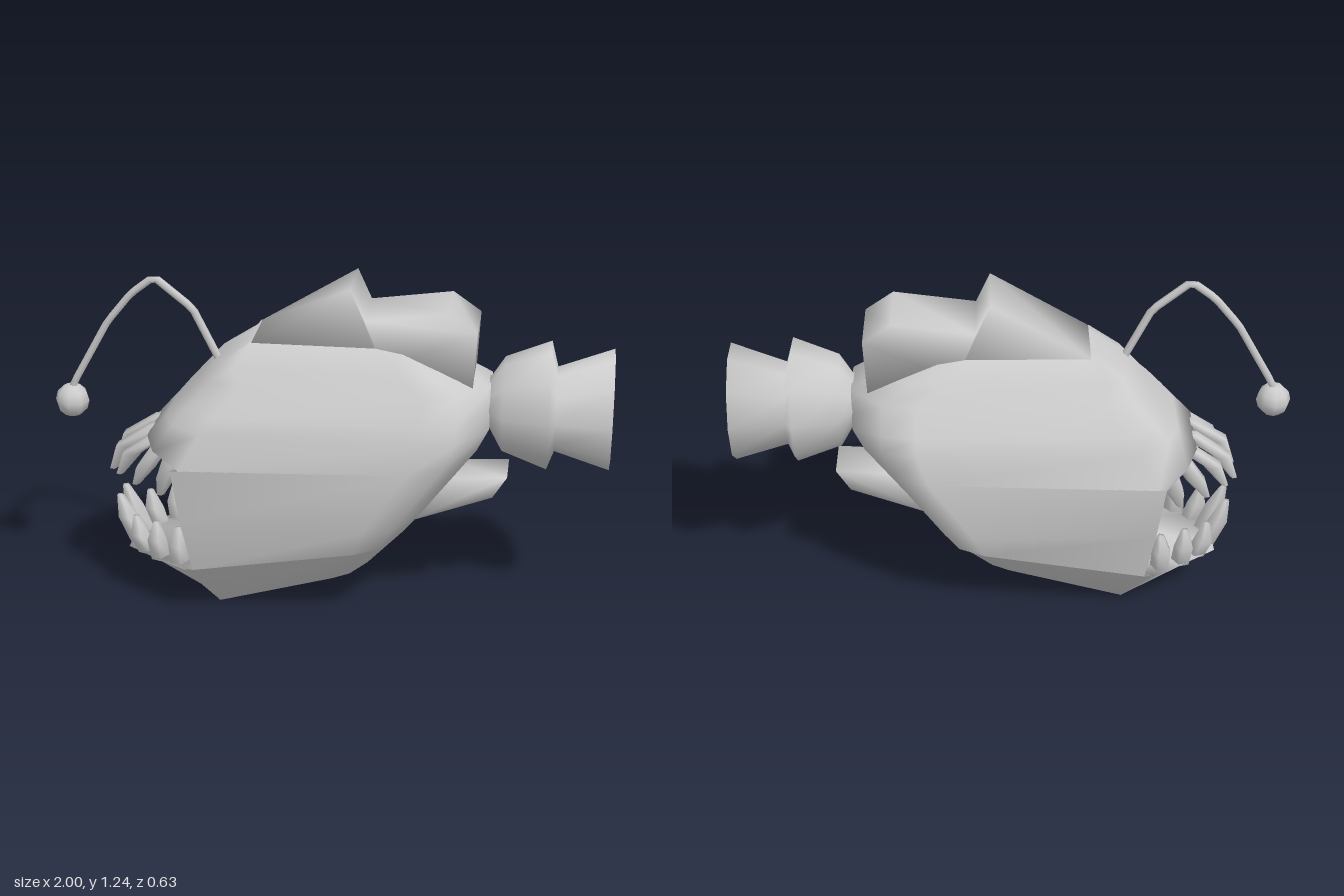
import * as THREE from 'three';
import { mergeVertices } from 'three/addons/utils/BufferGeometryUtils.js';

const material = new THREE.MeshStandardMaterial({ color: 0xcccccc, side: THREE.DoubleSide });
const V = (x, y, z) => new THREE.Vector3(x, y, z);

function addMesh(parent, name, geometry) {
  const mesh = new THREE.Mesh(geometry, material);
  mesh.name = name;
  parent.add(mesh);
  return mesh;
}

// Share coincident corners so shading runs smoothly over the whole part
function smooth(geometry) {
  geometry.deleteAttribute('normal');
  geometry.deleteAttribute('uv');
  const merged = mergeVertices(geometry);
  merged.computeVertexNormals();
  return merged;
}

// Skin a list of equal-length rings and close both ends, facing outward
function loft(rings) {
  const n = rings[0].length;
  const points = rings.flat();
  const index = [];
  for (let r = 0; r < rings.length - 1; r++) {
    for (let i = 0; i < n; i++) {
      const j = (i + 1) % n, a = r * n, b = a + n;
      index.push(a + i, a + j, b + j, a + i, b + j, b + i);
    }
  }
  [0, rings.length - 1].forEach((r, end) => {
    const centre = rings[r].reduce((s, p) => s.add(p), V(0, 0, 0)).divideScalar(n);
    const c = points.push(centre) - 1;
    for (let i = 0; i < n; i++) {
      const p = r * n + i, q = r * n + (i + 1) % n;
      index.push(c, end ? p : q, end ? q : p);
    }
  });
  let volume = 0;
  for (let i = 0; i < index.length; i += 3) {
    volume += points[index[i]].dot(V(0, 0, 0).crossVectors(points[index[i + 1]], points[index[i + 2]]));
  }
  if (volume < 0) index.reverse();
  const geometry = new THREE.BufferGeometry().setFromPoints(points);
  geometry.setIndex(index);
  return smooth(geometry);
}

// Body outline from front x to back x; nose gives the setback of the front corners
function bodyRing({ y, front, back, w, nose = [0, 0.04, 0.15], height = () => y }) {
  const s = Math.min(1, back - front);
  const half = [
    [front + nose[0], 0.4 * w], [front + nose[1], 0.72 * w], [front + nose[2], w],
    [back - 0.23 * s, w], [back - 0.11 * s, 0.91 * w], [back, 0.36 * w],
  ];
  const side = half.map(([x, z]) => V(x, height(x), z));
  const mirrored = side.map(p => V(p.x, p.y, -p.z)).reverse();
  return [...side, ...mirrored];
}

function bodyGeometry() {
  const belly = x => 0.005 + (x + 0.4) * 0.287;
  const jaw = x => 0.2 + Math.max(0, x + 0.47) * 0.17;
  const lip = x => 0.61 + Math.max(0, -0.53 - x) * 0.42 + Math.max(0, x) * 0.1;
  const blunt = [0, 0, 0];
  const mouth = [0.14, 0.09, 0];
  return loft([
    { front: -0.4, back: 0.14, w: 0.12, nose: blunt, height: belly },
    { front: -0.74, back: 0.28, w: 0.265, nose: [0, 0.12, 0.24], height: jaw },
    { front: -0.47, back: 0.28, w: 0.265, nose: mouth, height: jaw },
    { y: 0.41, front: -0.5, back: 0.34, w: 0.315, nose: mouth },
    { front: -0.53, back: 0.53, w: 0.315, nose: mouth, height: lip },
    { front: -0.65, back: 0.53, w: 0.315, height: lip },
    { y: 0.74, front: -0.58, back: 0.57, w: 0.287 },
    { y: 0.8, front: -0.53, back: 0.57, w: 0.27 },
    { y: 0.89, front: -0.452, back: 0.57, w: 0.212 },
    { y: 0.95, front: -0.4, back: 0.46, w: 0.175, nose: [0, 0.02, 0.07] },
    { y: 1.03, front: -0.27, back: 0.3, w: 0.12, nose: blunt },
  ].map(bodyRing));
}

// Two flared tail stages
function tailGeometry() {
  const sections = [
    // x, bottom, top, half width
    [0.54, 0.72, 0.89, 0.1], [0.57, 0.71, 0.9, 0.1], [0.615, 0.63, 0.97, 0.155],
    [0.775, 0.57, 1.035, 0.195], [0.8, 0.64, 0.94, 0.15], [0.995, 0.58, 1.015, 0.192],
  ];
  return loft(sections.map(([x, low, high, w]) => Array.from({ length: 10 }, (_, i) => {
    const a = i * Math.PI / 5;
    return V(x, (low + high) / 2 + Math.sin(a) * (high - low) / 2, Math.cos(a) * w);
  })));
}

// Flat fin outline given width across the body
function finGeometry(outline, halfWidth) {
  const shape = new THREE.Shape(outline.map(([x, y]) => new THREE.Vector2(x, y)));
  const geometry = new THREE.ExtrudeGeometry(shape, { depth: 2 * halfWidth, bevelEnabled: false });
  geometry.translate(0, 0, -halfWidth);
  return smooth(geometry);
}

// Five-sided fang through base, middle and tip
function toothGeometry(path) {
  const radii = [0.036, 0.037, 0.014];
  return loft(path.map(([x, y, z], k) => Array.from({ length: 5 }, (_, i) => {
    const a = i * Math.PI * 2 / 5;
    return V(x + Math.cos(a) * radii[k], y, z + Math.sin(a) * radii[k]);
  })));
}

export function createModel() {
  const model = new THREE.Group();
  model.name = 'deepSeaFish';

  addMesh(model, 'body', bodyGeometry());
  addMesh(model, 'tail', tailGeometry());
  addMesh(model, 'dorsalFin', finGeometry([
    [-0.27, 1.028], [0.08, 1.24], [0.13, 1.13], [0.42, 1.17], [0.52, 1.1], [0.51, 0.9], [0.2, 0.95],
  ], 0.12));
  addMesh(model, 'ventralFin', finGeometry([
    [0.3, 0.36], [0.59, 0.47], [0.64, 0.55], [0.42, 0.535], [0.3, 0.47],
  ], 0.084));

  // Teeth, mirrored on both sides
  const teeth = new THREE.Group();
  teeth.name = 'teeth';
  model.add(teeth);
  const lower = [
    [[-0.53, 0.19, 0.2], [-0.535, 0.27, 0.205], [-0.53, 0.335, 0.2]],
    [[-0.61, 0.19, 0.16], [-0.62, 0.27, 0.17], [-0.62, 0.335, 0.165]],
    [[-0.67, 0.19, 0.11], [-0.695, 0.26, 0.12], [-0.705, 0.33, 0.115]],
    [[-0.71, 0.19, 0.045], [-0.755, 0.3, 0.05], [-0.78, 0.38, 0.045]],
  ];
  const upper = [
    [[-0.54, 0.63, 0.215], [-0.57, 0.54, 0.205], [-0.595, 0.46, 0.19]],
    [[-0.59, 0.65, 0.175], [-0.65, 0.56, 0.175], [-0.69, 0.485, 0.165]],
    [[-0.61, 0.66, 0.115], [-0.71, 0.59, 0.12], [-0.76, 0.5, 0.115]],
    [[-0.63, 0.67, 0.045], [-0.75, 0.59, 0.055], [-0.8, 0.49, 0.05]],
  ];
  for (const [name, row] of [['lowerTooth', lower], ['upperTooth', upper]]) {
    for (const path of row) {
      for (const s of [1, -1]) {
        addMesh(teeth, name, toothGeometry(path.map(([x, y, z]) => [x, y, z * s])));
      }
    }
  }

  // Lure: bent rod with a bulb
  const bends = [
    [-0.39, 0.93], [-0.485, 1.125], [-0.62, 1.235], [-0.705, 1.17], [-0.795, 1.06], [-0.93, 0.82], [-0.94, 0.78],
  ].map(([x, y]) => V(x, y, 0.055));
  const rod = new THREE.CurvePath();
  for (let i = 1; i < bends.length; i++) rod.add(new THREE.LineCurve3(bends[i - 1], bends[i]));
  addMesh(model, 'lureRod', new THREE.TubeGeometry(rod, 28, 0.014, 6));
  addMesh(model, 'lureBulb', new THREE.SphereGeometry(0.062, 8, 6)).position.set(-0.938, 0.755, 0.055);

  return model;
}
